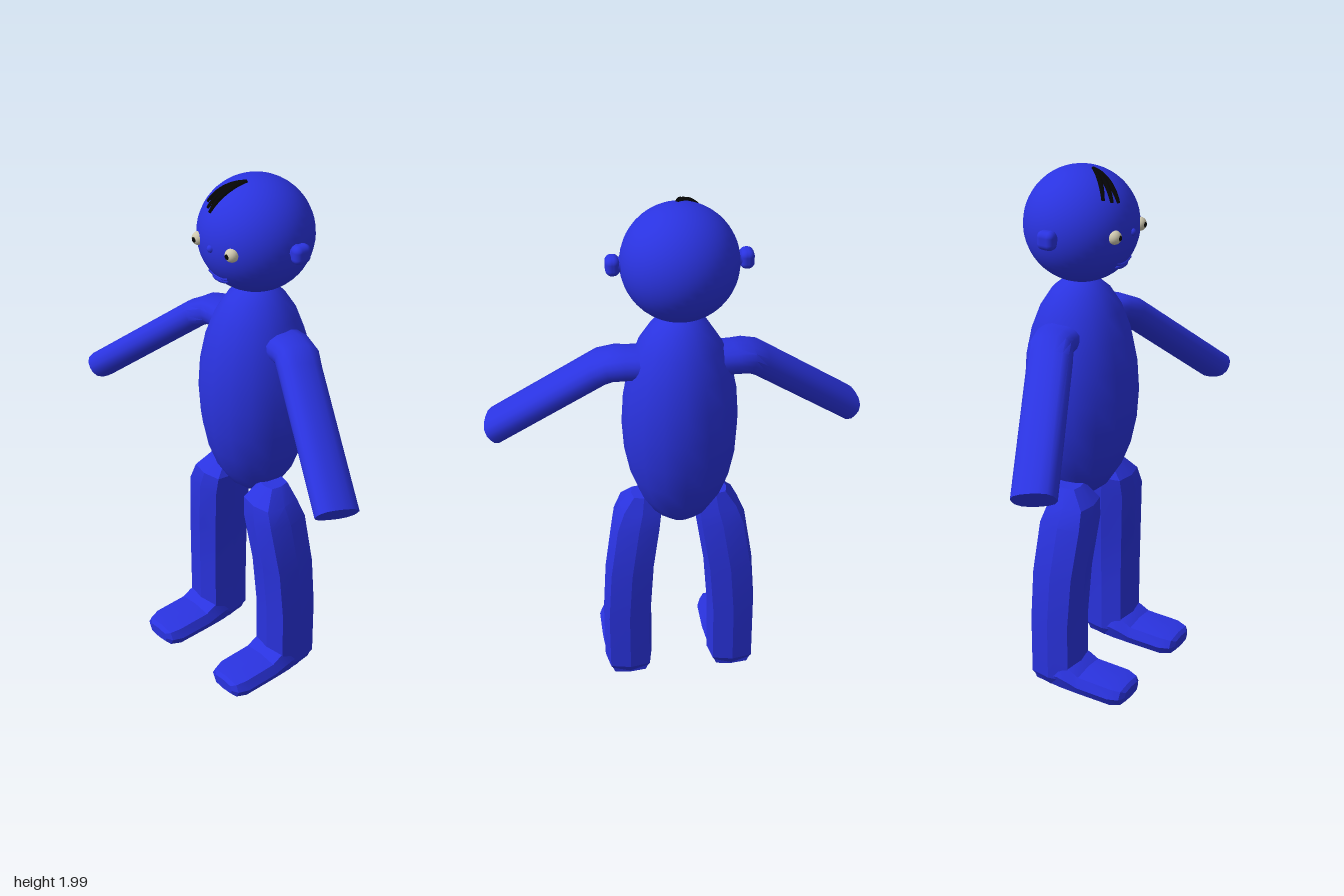
import * as THREE from 'three';
import { toCreasedNormals } from 'three/addons/utils/BufferGeometryUtils.js';
import { RoundedBoxGeometry } from 'three/addons/geometries/RoundedBoxGeometry.js';

const V = (x, y, z) => new THREE.Vector3(x, y, z);
const skin = new THREE.MeshStandardMaterial({ color: 0x2a33e0 });
const black = new THREE.MeshStandardMaterial({ color: 0x050505 });
const cream = new THREE.MeshStandardMaterial({ color: 0xcfc8b0 });

const HEAD = V(0, 1.793, -0.057), HEAD_R = 0.207;

// Closed skin over cross-sections { c, u, v }; u x v points along the loft.
// "square" pushes the diagonals out, turning a circle into a rounded square.
function loft(sections, sides, square, crease) {
  const pos = [], idx = [];
  for (const { c, u, v } of sections) {
    for (let i = 0; i < sides; i++) {
      const t = (i / sides) * Math.PI * 2;
      const k = 1 + square * Math.sin(2 * t) ** 2;
      const p = c.clone().addScaledVector(u, Math.cos(t) * k).addScaledVector(v, Math.sin(t) * k);
      pos.push(p.x, p.y, p.z);
    }
  }
  const last = sections.length - 1;
  for (let s = 0; s < last; s++) {
    for (let i = 0; i < sides; i++) {
      const j = (i + 1) % sides, a = s * sides, b = a + sides;
      idx.push(a + i, a + j, b + j, a + i, b + j, b + i);
    }
  }
  // end caps
  for (let i = 1; i < sides - 1; i++) {
    const e = last * sides;
    idx.push(0, i + 1, i, e, e + i, e + i + 1);
  }
  const g = new THREE.BufferGeometry();
  g.setAttribute('position', new THREE.Float32BufferAttribute(pos, 3));
  g.setIndex(idx);
  return toCreasedNormals(g, crease);
}

// Point on the face of the head at a given x and y
function onFace(x, y, lift = 0) {
  const r = HEAD_R + lift, dy = y - HEAD.y;
  return V(x, y, HEAD.z + Math.sqrt(Math.max(0, r * r - x * x - dy * dy)));
}

function armGeometry(side) {
  const path = [[0.1, 1.41, -0.06], [0.19, 1.41, -0.057], [0.235, 1.405, -0.045],
    [0.28, 1.38, -0.02], [0.667, 1.053, 0.153]].map(([x, y, z]) => V(side * x, y, z));
  const sections = path.map((c, i) => {
    const d = path[Math.min(i + 1, path.length - 1)].clone().sub(path[Math.max(i - 1, 0)]).normalize();
    const u = V(0, 0, 1).addScaledVector(d, -d.z).normalize();
    const v = d.clone().cross(u);
    return { c, u: u.multiplyScalar(0.081), v: v.multiplyScalar(0.052) };
  });
  return loft(sections, 16, 0.08, 0.7);
}

function legGeometry(side) {
  // y, centre x, half width, centre z, half depth
  const rows = [[0.02, 0.203, 0.07, -0.04, 0.07], [0.06, 0.203, 0.092, -0.04, 0.095],
    [0.3, 0.203, 0.093, -0.04, 0.095], [0.5, 0.19, 0.094, -0.033, 0.098],
    [0.7, 0.16, 0.094, -0.016, 0.1], [0.77, 0.143, 0.082, -0.01, 0.085],
    [0.83, 0.135, 0.045, -0.03, 0.045]];
  const sections = rows.map(([y, x, w, z, d]) =>
    ({ c: V(side * x, y, z), u: V(0, 0, d), v: V(w, 0, 0) }));
  return loft(sections, 8, 0.18, 0.35);
}

function footGeometry(side) {
  // z, half width, centre y, half height
  const rows = [[-0.11, 0.075, 0.055, 0.04], [0.0, 0.091, 0.075, 0.067],
    [0.05, 0.093, 0.066, 0.056], [0.085, 0.093, 0.056, 0.045],
    [0.22, 0.093, 0.053, 0.043], [0.262, 0.078, 0.053, 0.035], [0.275, 0.052, 0.053, 0.022]];
  const sections = rows.map(([z, w, y, h]) =>
    ({ c: V(side * 0.203, y, z), u: V(w, 0, 0), v: V(0, h, 0) }));
  return loft(sections, 8, 0.15, 0.35);
}

// Tapering lock of hair that hugs the scalp from crown to forehead
function hairGeometry(endX, endY) {
  const tip = onFace(endX, endY).sub(HEAD).normalize();
  const root = V(0.004, HEAD_R, 0.045).normalize();
  const sections = [];
  for (let i = 0; i <= 10; i++) {
    const t = i / 10;
    const n = root.clone().lerp(tip, t).normalize();
    const c = HEAD.clone().addScaledVector(n, HEAD_R + 0.004 * Math.sin(t * Math.PI));
    const d = tip.clone().sub(root);
    d.addScaledVector(n, -d.dot(n)).normalize();
    const r = 0.004 + 0.005 * Math.sin(Math.PI * (0.15 + 0.7 * t));
    sections.push({ c, u: n.clone().multiplyScalar(r), v: d.cross(n).multiplyScalar(r) });
  }
  return loft(sections, 8, 0, 0.9);
}

export function createModel() {
  const model = new THREE.Group();
  model.name = 'figure';
  const add = (name, geometry, material = skin, parent = model) => {
    const m = new THREE.Mesh(geometry, material);
    m.name = name;
    parent.add(m);
    return m;
  };

  // Egg-shaped body
  const body = add('body', new THREE.SphereGeometry(1, 16, 12));
  body.scale.set(0.212, 0.438, 0.212);
  body.position.set(0, 1.17, -0.06);

  // Head and face
  const head = new THREE.Group();
  head.name = 'head';
  model.add(head);
  add('skull', new THREE.SphereGeometry(HEAD_R, 40, 28), skin, head).position.copy(HEAD);

  const nose = add('nose', new THREE.SphereGeometry(0.014, 12, 8), skin, head);
  nose.position.copy(onFace(0, 1.793, -0.004));

  // Smile: full lower lip below a thin curved upper lip
  const lip = add('lowerLip', new THREE.SphereGeometry(1, 20, 10), skin, head);
  lip.scale.set(0.042, 0.013, 0.016);
  lip.position.copy(onFace(0, 1.668, -0.004));
  const smile = [-0.05, -0.025, 0, 0.025, 0.05].map(x => onFace(x, 1.674 + 4 * x * x, 0));
  add('upperLip', new THREE.TubeGeometry(new THREE.CatmullRomCurve3(smile), 16, 0.005, 6), skin, head);

  // Hair
  [[-0.09, 1.918], [-0.066, 1.908], [-0.042, 1.902]].forEach(([x, y], i) =>
    add('hairLock' + (i + 1), hairGeometry(x, y), black, head));

  for (const side of [1, -1]) {
    const label = side > 0 ? 'left' : 'right';

    // Eyes with pupils looking forward
    const eye = onFace(side * 0.088, 1.795, -0.004);
    add(label + 'Eye', new THREE.SphereGeometry(0.025, 20, 14), cream, head).position.copy(eye);
    const pupil = add(label + 'Pupil', new THREE.SphereGeometry(0.01, 12, 8), black, head);
    pupil.scale.z = 0.5;
    pupil.position.copy(eye).add(V(0, 0, 0.022));

    // Ears: a knob on a narrower stem
    add(label + 'Ear', new RoundedBoxGeometry(0.05, 0.068, 0.068, 3, 0.022), skin, head)
      .position.set(side * 0.231, 1.795, -0.057);
    const stem = add(label + 'EarStem', new THREE.CylinderGeometry(0.027, 0.027, 0.06, 12), skin, head);
    stem.rotation.z = Math.PI / 2;
    stem.position.set(side * 0.2, 1.795, -0.057);

    // Limbs
    add(label + 'Arm', armGeometry(side));
    add(label + 'Leg', legGeometry(side));
    add(label + 'Foot', footGeometry(side));
  }
  return model;
}
